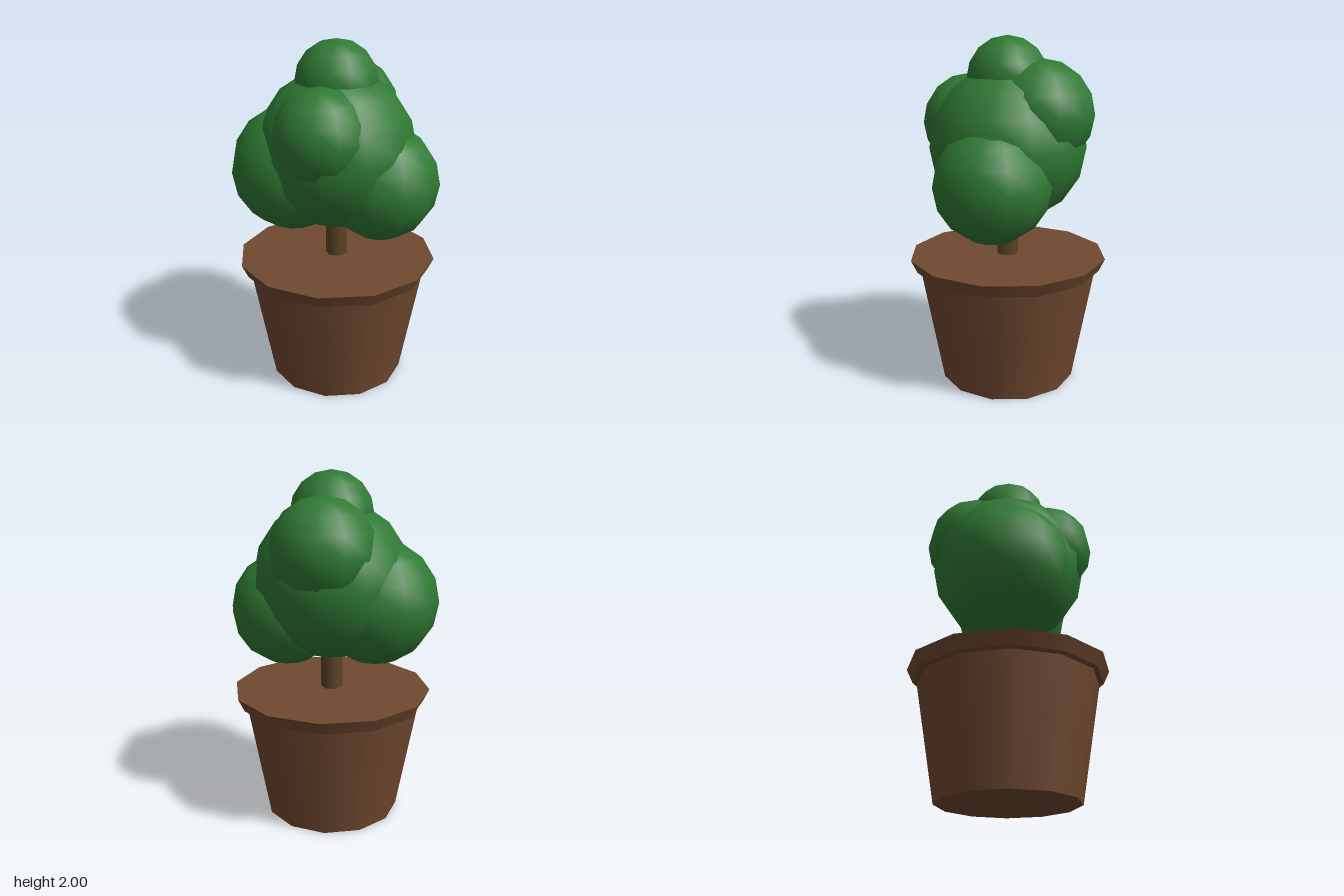
import * as THREE from 'three';

export function createModel() {
  const model = new THREE.Group();
  const clay = new THREE.MeshStandardMaterial({ color: 0x70492f });
  const bark = new THREE.MeshStandardMaterial({ color: 0x5c4526 });
  const leaf = new THREE.MeshStandardMaterial({ color: 0x2f7a33 });

  // Closed, tapered round part standing between two heights
  function tapered(name, rTop, rBottom, y0, y1, sides, material) {
    const mesh = new THREE.Mesh(
      new THREE.CylinderGeometry(rTop, rBottom, y1 - y0, sides), material);
    mesh.name = name;
    mesh.position.y = (y0 + y1) / 2;
    model.add(mesh);
  }

  // Pot with a narrow neck below its overhanging rim
  tapered('pot', 0.515, 0.395, 0, 0.668, 12, clay);
  tapered('neck', 0.487, 0.485, 0.66, 0.685, 12, clay);
  tapered('rim', 0.575, 0.54, 0.678, 0.752, 12, clay);
  tapered('trunk', 0.063, 0.063, 0.75, 1.1, 6, bark);

  // Foliage balls: name, radius, centre
  const balls = [
    ['crown', 0.45, 0, 1.4, 0],
    ['topTuft', 0.235, 0, 1.765, 0],
    ['lowerLeftTuft', 0.33, 0.21, 1.22, 0.15],
    ['lowerRightTuft', 0.36, -0.215, 1.275, -0.125],
    ['upperRightTuft', 0.27, -0.15, 1.52, 0.18],
    ['upperLeftTuft', 0.3, 0.12, 1.58, -0.155],
  ];
  const foliage = new THREE.Group();
  foliage.name = 'foliage';
  for (const [name, radius, x, y, z] of balls) {
    const ball = new THREE.Mesh(new THREE.SphereGeometry(radius, 12, 8), leaf);
    ball.name = name;
    ball.position.set(x, y, z);
    foliage.add(ball);
  }
  model.add(foliage);
  return model;
}
